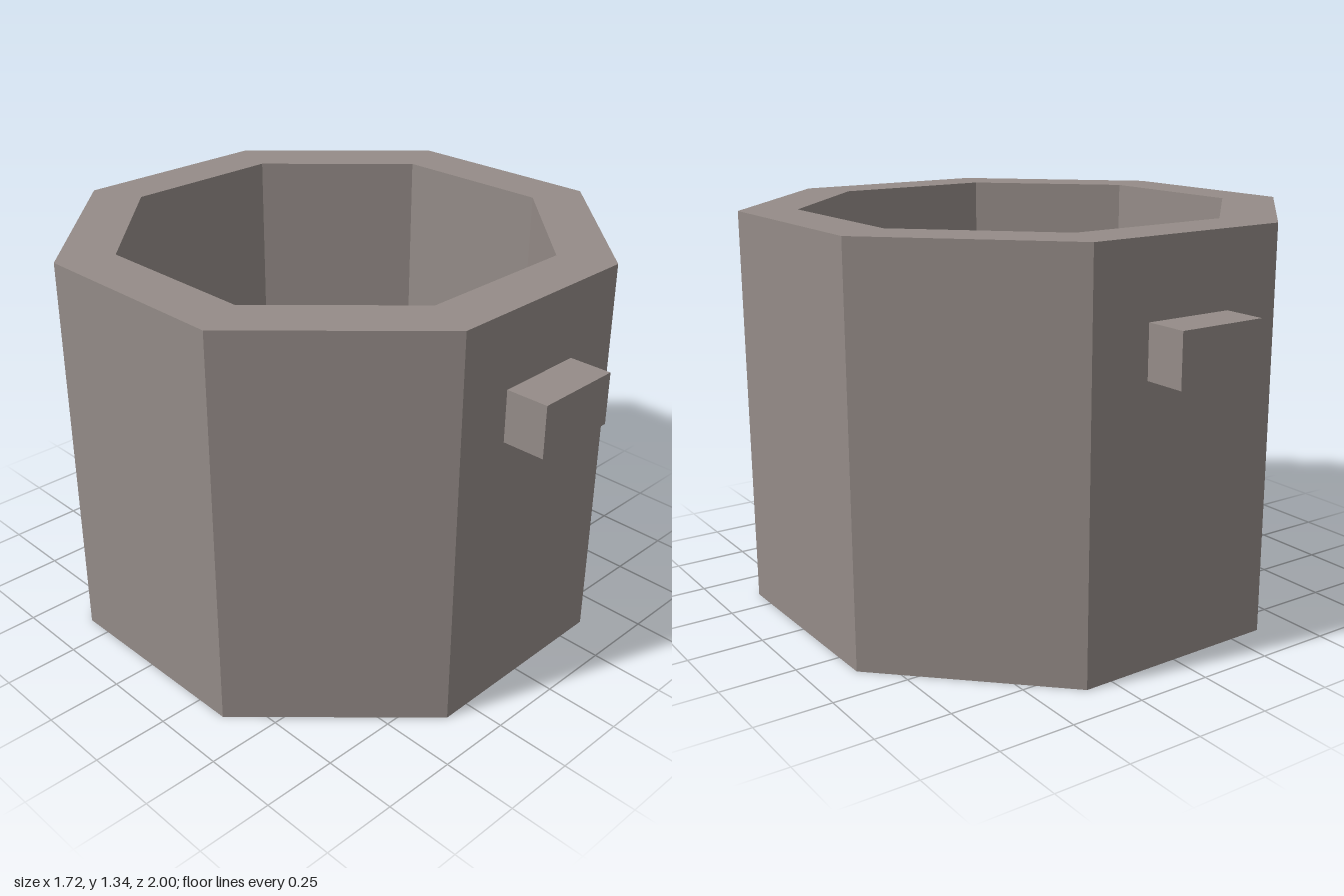
import * as THREE from 'three';

export function createModel() {
  const group = new THREE.Group();
  group.name = 'octagonalPot';
  const stone = new THREE.MeshStandardMaterial({ name: 'warmGrey', color: 0x958c88, flatShading: true });

  const height = 1.335, outer = 0.926, inner = 0.735, floorY = 0.17;
  const twist = THREE.MathUtils.degToRad(0.7); // whole pot is turned very slightly

  // Hollow eight-sided vessel: underside, outer wall, rim, inner wall, floor
  const profile = [[0, 0], [outer, 0], [outer, height], [inner, height], [inner, floorY], [0, floorY]]
    .map(([r, y]) => new THREE.Vector2(r, y));
  const vessel = new THREE.Mesh(new THREE.LatheGeometry(profile, 8, Math.PI / 8 + twist), stone);
  vessel.name = 'vessel';
  group.add(vessel);

  // Block handles at front and back, sunk into the wall
  const handles = new THREE.Group();
  handles.name = 'handles';
  handles.rotation.y = twist;
  for (const [name, side] of [['frontHandle', 1], ['backHandle', -1]]) {
    const handle = new THREE.Mesh(new THREE.BoxGeometry(0.306, 0.172, 0.198), stone);
    handle.name = name;
    handle.position.set(-0.004, 1.003, side * 0.899);
    handles.add(handle);
  }
  group.add(handles);
  return group;
}
